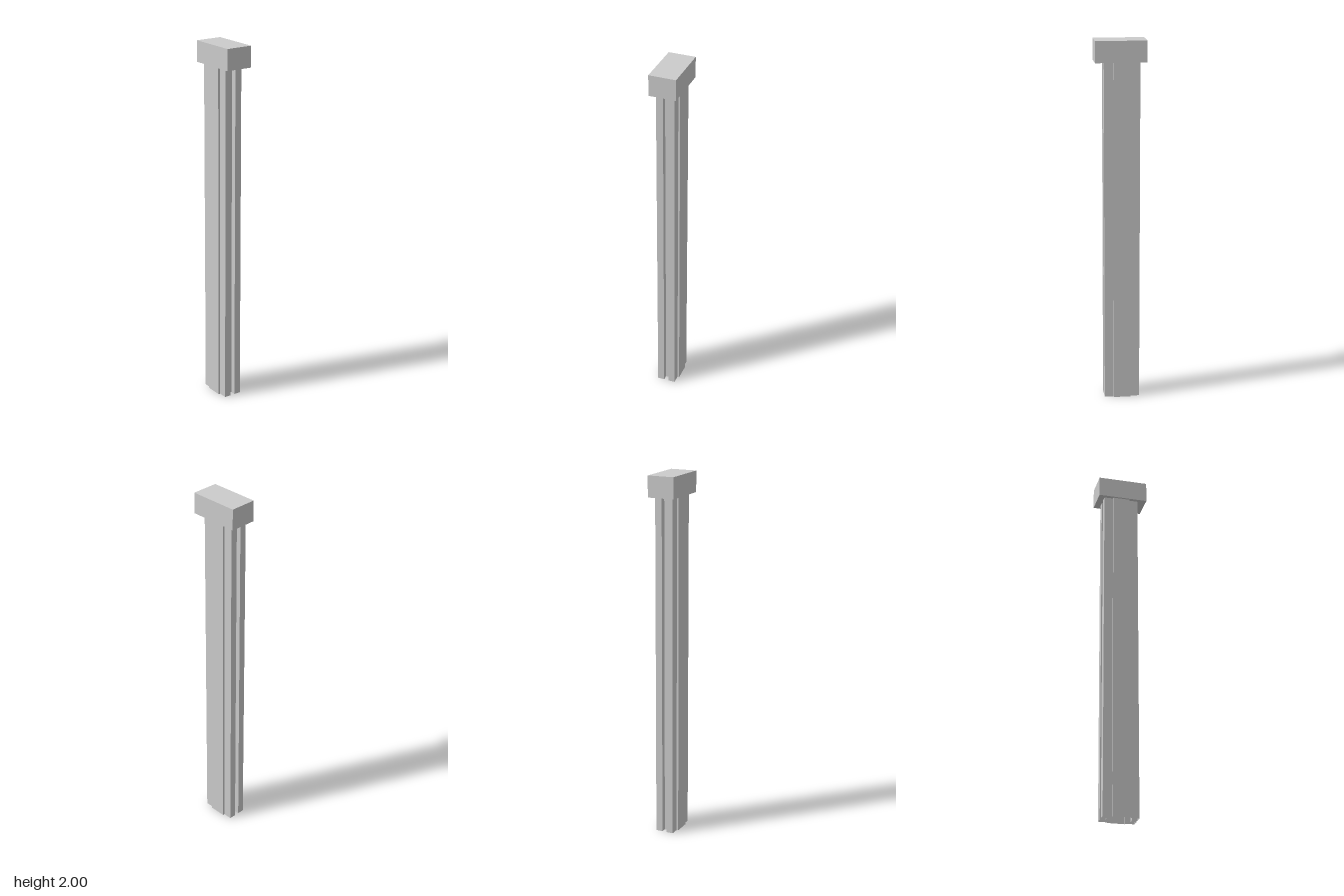
import * as THREE from 'three';

const CAP_BASE = 1.885;

// Vertical walls along a closed [x, z] outline, open at both ends
function wallGeometry(outline, height) {
  const positions = [];
  outline.forEach(([ax, az], i) => {
    const [bx, bz] = outline[(i + 1) % outline.length];
    positions.push(ax, 0, az, bx, 0, bz, bx, height, bz);
    positions.push(ax, 0, az, bx, height, bz, ax, height, az);
  });
  const geometry = new THREE.BufferGeometry();
  geometry.setAttribute('position', new THREE.Float32BufferAttribute(positions, 3));
  geometry.computeVertexNormals();
  return geometry;
}

export function createModel() {
  const group = new THREE.Group();
  group.name = 'column';

  // Hollow shaft: raised band on front and back, narrow groove in each side
  const halfWidth = 0.097, bandHalf = 0.047, bodyZ = 0.051, bandZ = 0.061;
  const grooveHalf = 0.013, grooveDepth = 0.03;
  const half = [
    [-bandHalf, bodyZ], [-bandHalf, bandZ], [bandHalf, bandZ], [bandHalf, bodyZ],
    [halfWidth, bodyZ], [halfWidth, grooveHalf], [halfWidth - grooveDepth, grooveHalf],
    [halfWidth - grooveDepth, -grooveHalf], [halfWidth, -grooveHalf], [halfWidth, -bodyZ],
  ];
  const outline = [...half, ...half.map(([x, z]) => [-x, -z])];
  const shaft = new THREE.Mesh(
    wallGeometry(outline, CAP_BASE),
    new THREE.MeshStandardMaterial({ color: 0xcccccc, flatShading: true, side: THREE.DoubleSide })
  );
  shaft.name = 'shaft';
  shaft.position.set(-0.007, 0, 0.0025);
  group.add(shaft);

  // Plain block on top
  const capHeight = 2 - CAP_BASE;
  const cap = new THREE.Mesh(
    new THREE.BoxGeometry(0.276, capHeight, 0.148),
    new THREE.MeshStandardMaterial({ color: 0xcccccc, flatShading: true })
  );
  cap.name = 'cap';
  cap.position.y = CAP_BASE + capHeight / 2;
  group.add(cap);

  return group;
}
